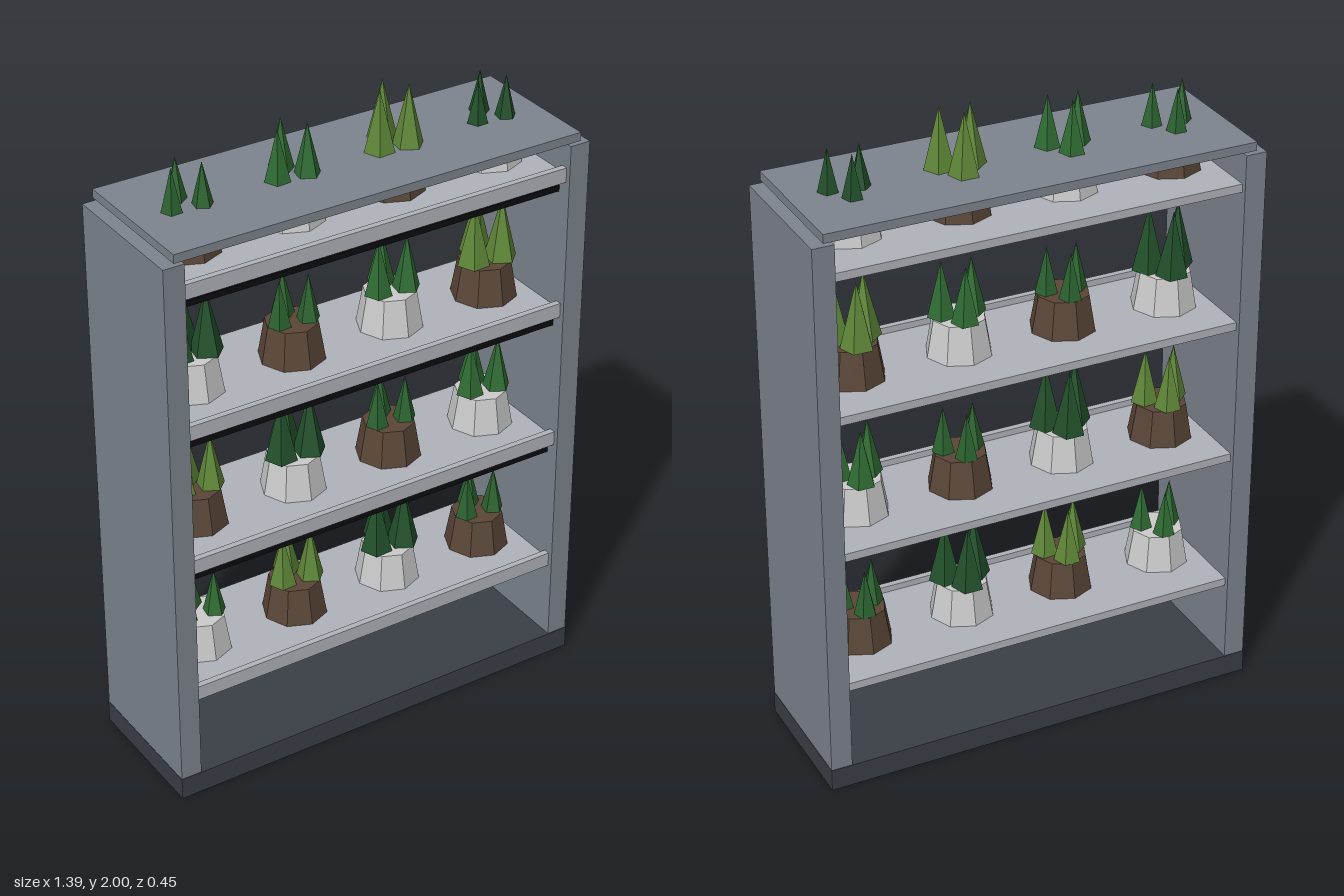
import * as THREE from 'three';

const mat = (color) => new THREE.MeshStandardMaterial({ color, flatShading: true });

export function createModel() {
  const model = new THREE.Group();
  const frameMat = mat(0x7d848e);
  const baseMat = mat(0x3a3f46);
  const shelfMat = mat(0xb0b3ba);
  const lampMat = mat(0x0c0a10);
  const potMats = [mat(0xc8cacc), mat(0x5a4638)];
  const leafMats = [mat(0x2f6b33), mat(0x5f8738), mat(0x22502b), mat(0x2c6330)];

  const add = (parent, name, geometry, material, x, y, z) => {
    const mesh = new THREE.Mesh(geometry, material);
    mesh.name = name;
    mesh.position.set(x, y, z);
    parent.add(mesh);
    return mesh;
  };
  const box = (name, w, h, d, material, x, y, z) =>
    add(model, name, new THREE.BoxGeometry(w, h, d), material, x, y, z);

  // Frame: plinth, two side panels and a floating top board
  box('base', 1.394, 0.07, 0.446, baseMat, 0, 0.035, 0);
  for (const s of [-1, 1]) {
    box(s > 0 ? 'leftPanel' : 'rightPanel', 0.066, 1.773, 0.442, frameMat, s * 0.663, 0.8875, 0);
  }
  box('topBoard', 1.325, 0.027, 0.442, frameMat, 0, 1.797, 0);

  // Plant: octagonal pot with three five-sided leaf cones
  const potHeight = 0.115;
  const potGeometry = new THREE.CylinderGeometry(0.08, 0.1, potHeight, 8);
  const leafSpots = [[0, -0.048], [-0.045, 0.008], [0.045, 0.018]];
  const leafSizes = [[0.035, 0.145], [0.0425, 0.173], [0.05, 0.203]];
  const leafGeometries = leafSizes.map(([r, h]) => new THREE.ConeGeometry(r, h, 5));

  const makePlant = (index) => {
    const plant = new THREE.Group();
    plant.name = 'plant';
    add(plant, 'pot', potGeometry, potMats[index % 2], 0, potHeight / 2, 0);
    const size = index % 3;
    leafSpots.forEach(([x, z], i) => {
      const y = potHeight + leafSizes[size][1] / 2;
      const leaf = add(plant, 'leafCone', leafGeometries[size], leafMats[index % 4], x, y, z);
      leaf.rotation.y = i * 0.7;
    });
    return plant;
  };

  // Shelves with front lip, lamp bar beneath and four plants each
  const pitch = 0.444;
  for (let row = 0; row < 4; row++) {
    const y = 0.322 + row * pitch;
    box('shelf', 1.26, 0.026, 0.41, shelfMat, 0, y + 0.013, 0);
    box('shelfLip', 1.26, 0.02, 0.02, shelfMat, 0, y + 0.036, 0.195);
    if (row > 0) box('lampBar', 1.26, 0.019, 0.05, lampMat, 0, y - 0.032, 0.15);

    for (let col = 0; col < 4; col++) {
      const plant = makePlant(row + col);
      plant.position.set(-0.5 + col / 3, y + 0.026, 0);
      model.add(plant);
    }
  }
  return model;
}
